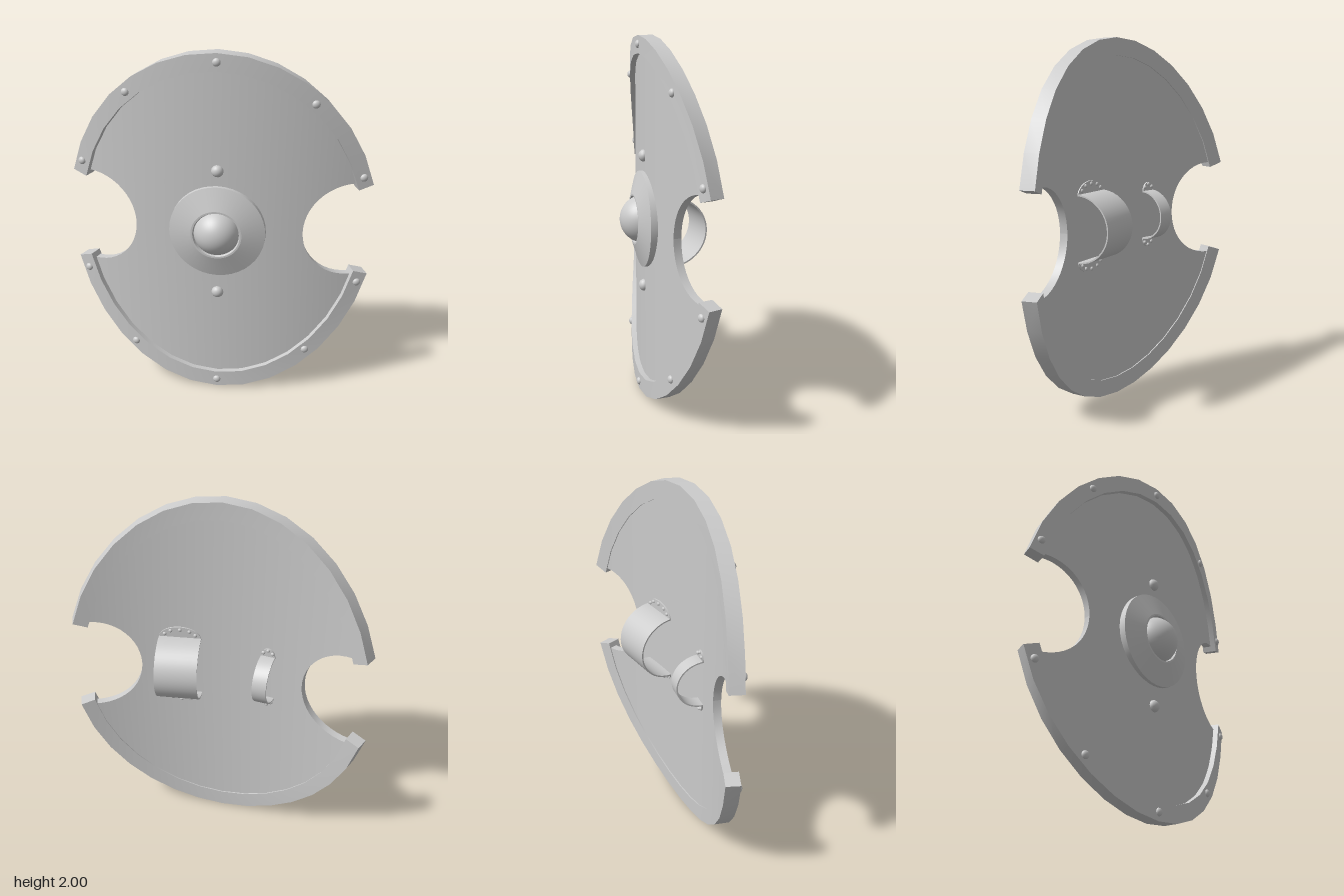
import * as THREE from 'three';
import { toCreasedNormals } from 'three/addons/utils/BufferGeometryUtils.js';

const MAT = new THREE.MeshStandardMaterial({ color: 0xcccccc });
const DOUBLE = new THREE.MeshStandardMaterial({ color: 0xcccccc, side: THREE.DoubleSide });

// The board is bent round a vertical axis behind it
const AXIS_Z = -2.08;
const RIM_FRONT = 2.18, RIM_BACK = 2.10, PANEL_FRONT = 2.15, PANEL_BACK = 2.106;
const bendAngle = x => Math.asin(x / RIM_FRONT);
const bend = (x, y, r) => {
  const t = bendAngle(x);
  return new THREE.Vector3(r * Math.sin(t), y, AXIS_Z + r * Math.cos(t));
};

// Closed solid through a row of four-cornered sections
function loft(sections) {
  const tris = [];
  const quad = (a, b, c, d) => tris.push([a, b, c], [a, c, d]);
  for (let i = 0; i < sections.length - 1; i++) {
    const s = sections[i], n = sections[i + 1];
    for (let j = 0; j < 4; j++) quad(s[j], s[(j + 1) % 4], n[(j + 1) % 4], n[j]);
  }
  const first = sections[0], last = sections[sections.length - 1];
  quad(first[3], first[2], first[1], first[0]);
  quad(...last);
  // Turn the faces outward whichever way the sections run
  let volume = 0;
  const cross = new THREE.Vector3();
  for (const [a, b, c] of tris) volume += a.dot(cross.crossVectors(b, c));
  const points = tris.flatMap(([a, b, c]) => (volume < 0 ? [a, c, b] : [a, b, c]));
  return toCreasedNormals(new THREE.BufferGeometry().setFromPoints(points), 0.5);
}

function add(parent, name, geometry, material = MAT) {
  const mesh = new THREE.Mesh(geometry, material);
  mesh.name = name;
  parent.add(mesh);
  return mesh;
}

// Half dome facing +z
const dome = (r, height, segs = 14) =>
  new THREE.SphereGeometry(r, segs, Math.max(4, segs / 2), 0, Math.PI * 2, 0, Math.PI / 2)
    .rotateX(Math.PI / 2).scale(1, 1, height / r);

// Half of the board, with a round notch at each side
function panelHalf(sign) {
  const notchX = 0.745, notchR = 0.275, edge = notchX - notchR;
  const side = [];
  for (let i = 1; i <= 12; i++) side.push(notchX - notchR * Math.cos((i / 12) * Math.PI / 2));
  side.push(0.76);
  const xs = side.map(x => -x).reverse();
  for (let i = 0; i <= 16; i++) xs.push(edge * (i / 8 - 1));
  xs.push(...side);
  return loft(xs.map(x => {
    const d = Math.min(0, Math.abs(x) - notchX);
    const lo = 1 + sign * Math.sqrt(Math.max(0, notchR ** 2 - d * d));
    const hi = 1 + sign * 0.93 * Math.sqrt(1 - (x / 0.80) ** 2);
    return [bend(x, lo, PANEL_FRONT), bend(x, hi, PANEL_FRONT),
      bend(x, hi, PANEL_BACK), bend(x, lo, PANEL_BACK)];
  }));
}

// Raised border along the top or bottom edge
function rimHalf(sign) {
  const start = 0.274, steps = 14, sections = [];
  for (let i = 0; i <= steps; i++) {
    const t = start + (Math.PI - 2 * start) * i / steps;
    const c = Math.cos(t), s = sign * Math.sin(t);
    const ox = 0.862 * c, oy = 1 + s, ix = 0.782 * c, iy = 1 + 0.905 * s;
    sections.push([bend(ox, oy, RIM_FRONT), bend(ix, iy, RIM_FRONT),
      bend(ix, iy, RIM_BACK), bend(ox, oy, RIM_BACK)]);
  }
  return loft(sections);
}

// Arched band with a riveted rounded tab at each foot
function strap(name, x, y, width, radius, depth, tab, rivets) {
  const group = new THREE.Group();
  group.name = name;
  const sections = [], w = width / 2, thick = 0.008;
  for (let i = 0; i <= 24; i++) {
    const a = Math.PI * i / 24, c = Math.cos(a), s = Math.sin(a);
    const p = (px, k) => new THREE.Vector3(px, (radius - k) * c, -(depth - k) * s);
    sections.push([p(-w, 0), p(w, 0), p(w, thick), p(-w, thick)]);
  }
  add(group, name + 'Band', loft(sections), DOUBLE);
  for (const sign of [1, -1]) {
    const shape = new THREE.Shape();
    shape.absellipse(0, 0, w, tab, 0, Math.PI, false);
    const foot = add(group, name + 'Tab', new THREE.ExtrudeGeometry(shape,
      { depth: 0.014, bevelEnabled: false, curveSegments: 16 }));
    foot.position.set(0, sign * (radius - thick), -0.009);
    if (sign < 0) foot.rotation.z = Math.PI;
    for (let i = 0; i < rivets; i++) {
      const a = Math.PI * (i + 0.5) / rivets;
      const rivet = add(group, name + 'Rivet', dome(0.011, 0.009, 8));
      rivet.position.set(0.76 * w * Math.cos(a),
        sign * (radius - thick + 0.012 + 0.6 * tab * Math.sin(a)), -0.009);
      rivet.rotation.y = Math.PI;
    }
  }
  group.position.copy(bend(x, y, PANEL_BACK));
  group.rotation.y = bendAngle(x);
  return group;
}

export function createModel() {
  const model = new THREE.Group();
  model.name = 'shield';

  for (const [half, sign] of [['upper', 1], ['lower', -1]]) {
    add(model, half + 'Panel', panelHalf(sign));
    add(model, half + 'Rim', rimHalf(sign));
  }

  // Rivets on the rim and above and below the boss
  const rivet = (name, x, y, r, height, surface) => {
    const mesh = add(model, name, dome(r, height));
    mesh.position.copy(bend(x, y, surface));
    mesh.rotation.y = bendAngle(x);
  };
  for (const [x, y] of [[0, 0.953], [-0.49, 0.763], [0.505, 0.738], [-0.772, 0.333], [0.775, 0.317]]) {
    rivet('rimRivet', x, 1 + y, 0.022, 0.016, RIM_FRONT);
    rivet('rimRivet', x, 1 - y, 0.022, 0.016, RIM_FRONT);
  }
  for (const y of [1.357, 0.623]) rivet('panelRivet', 0, y, 0.034, 0.03, PANEL_FRONT);

  // Central boss: conical flange with a shallow well round the dome
  const boss = new THREE.Group();
  boss.name = 'boss';
  boss.position.y = 1.005;
  const profile = [[0.265, 0.045], [0.265, 0.09], [0.14, 0.131], [0.13, 0.131], [0.118, 0.105]]
    .map(p => new THREE.Vector2(...p));
  const flange = new THREE.LatheGeometry(profile, 40).rotateX(Math.PI / 2);
  add(boss, 'bossFlange', toCreasedNormals(flange, 0.28), DOUBLE);
  add(boss, 'bossDome', dome(0.133, 0.135, 32)).position.z = 0.07;
  model.add(boss);

  // Arm band and hand grip on the back
  model.add(strap('armStrap', 0.245, 1.005, 0.235, 0.185, 0.195, 0.07, 5));
  model.add(strap('handGrip', -0.268, 1.005, 0.08, 0.14, 0.152, 0.055, 3));
  return model;
}
